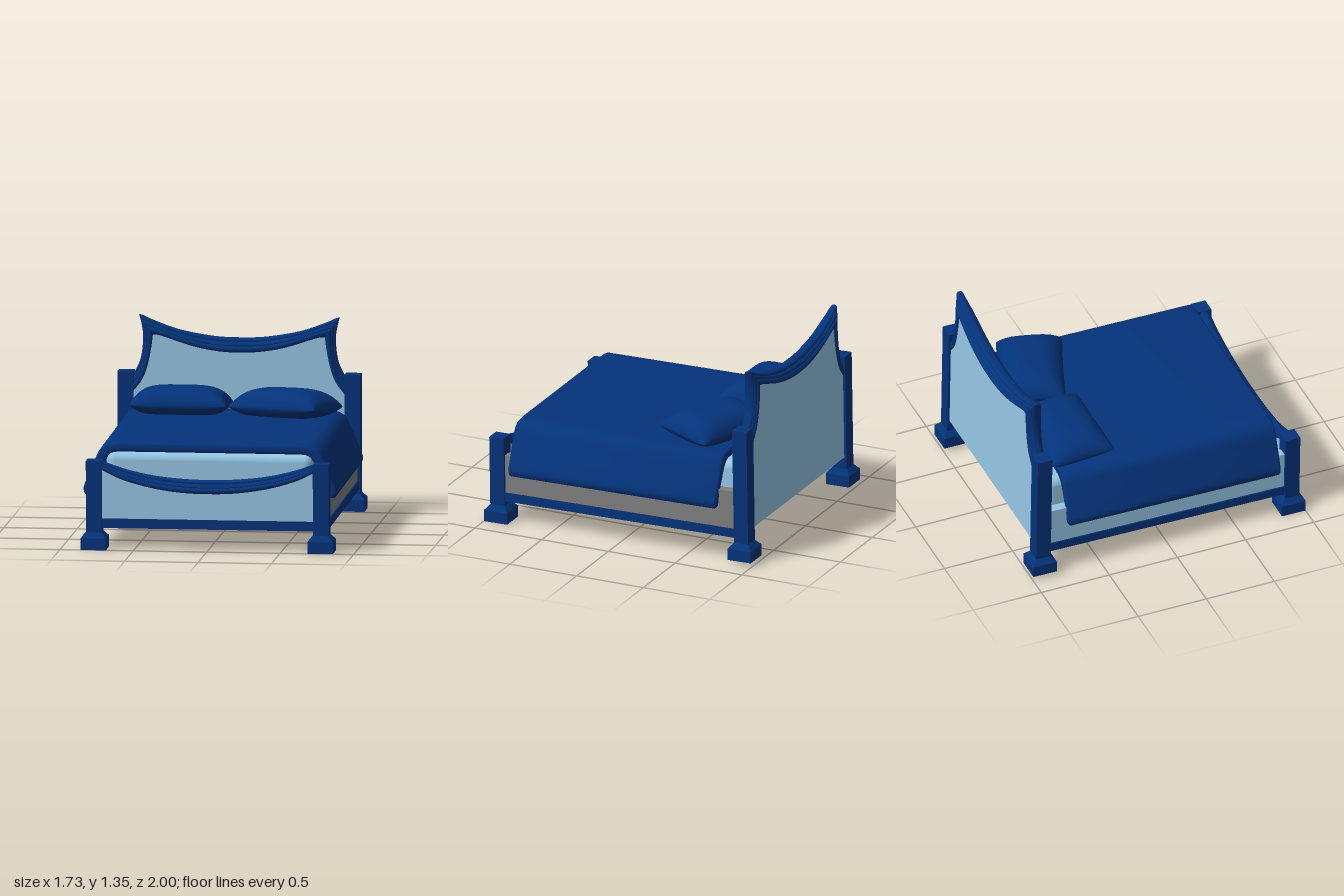
import * as THREE from 'three';
import { toCreasedNormals } from 'three/addons/utils/BufferGeometryUtils.js';
import { RoundedBoxGeometry } from 'three/addons/geometries/RoundedBoxGeometry.js';

const darkBlue = new THREE.MeshStandardMaterial({ color: 0x04337a });
const lightBlue = new THREE.MeshStandardMaterial({ color: 0x96c7e6 });
const grey = new THREE.MeshStandardMaterial({ color: 0x808080 });
darkBlue.name = 'darkBlue';
lightBlue.name = 'lightBlue';
grey.name = 'grey';

const POST_X = 0.773, POST_Z = 0.913, SHAFT = 0.0535, PLINTH = 0.0865;

function add(parent, name, geo, mat, x = 0, y = 0, z = 0) {
  const m = new THREE.Mesh(geo, mat);
  m.name = name;
  m.position.set(x, y, z);
  parent.add(m);
  return m;
}

// Box given by its lower and upper limits
function block(parent, name, mat, [x0, x1], [y0, y1], [z0, z1]) {
  return add(parent, name, new THREE.BoxGeometry(x1 - x0, y1 - y0, z1 - z0), mat,
    (x0 + x1) / 2, (y0 + y1) / 2, (z0 + z1) / 2);
}

const vecs = (pts) => pts.map(([x, y]) => new THREE.Vector2(x, y));
const mirror = (pts) => pts.map((p) => new THREE.Vector2(-p.x, p.y)).reverse();
const spline = (pts, n) => new THREE.SplineCurve(vecs(pts)).getSpacedPoints(n);

// Half a curve (ending on x = 0) completed by its mirror image
const symmetric = (half) => [...half, ...half.slice(0, -1).map(([x, y]) => [-x, y]).reverse()];

// Stepped rail between an outer and an inner edge, thicker toward the middle
function moulding(outer, inner) {
  const front = [[0, 0.2], [0.04, 0.38], [0.12, 0.5], [0.22, 0.52], [0.26, 0.5], [0.3, 0.64], [0.4, 0.77],
    [0.5, 0.8], [0.54, 0.77], [0.58, 0.9], [0.68, 1], [0.82, 1], [0.93, 0.9], [1, 0.65]];
  const ring = [...front, ...front.map(([t, d]) => [t, -d]).reverse()];
  const n = ring.length, pos = [], idx = [];
  outer.forEach((o, i) => {
    for (const [t, d] of ring) {
      const p = o.clone().lerp(inner[i], t);
      const depth = 0.049 + 0.019 * Math.max(0, 1 - (p.x / 0.7) ** 2);
      pos.push(p.x, p.y, d * depth);
    }
    if (i === 0) return;
    for (let j = 0; j < n; j++) {
      const k = (j + 1) % n, a = (i - 1) * n, b = i * n;
      idx.push(a + j, a + k, b + j, a + k, b + k, b + j);
    }
  });
  const g = new THREE.BufferGeometry();
  g.setAttribute('position', new THREE.Float32BufferAttribute(pos, 3));
  g.setIndex(idx);
  return toCreasedNormals(g, 0.7);
}

// Board whose top runs inside its moulding
function board(outer, inner, bottom, thick) {
  const top = outer.map((o, i) => o.clone().lerp(inner[i], 0.8));
  const shape = new THREE.Shape([new THREE.Vector2(-0.74, bottom), ...top, new THREE.Vector2(0.74, bottom)]);
  return new THREE.ExtrudeGeometry(shape, { depth: thick, bevelEnabled: false }).translate(0, 0, -thick / 2);
}

// Square post on a flared plinth
function post(name, x, z, height) {
  const g = new THREE.Group();
  g.name = name;
  g.position.set(x, 0, z);
  block(g, 'plinth', darkBlue, [-PLINTH, PLINTH], [0, 0.08], [-PLINTH, PLINTH]);
  const taper = new THREE.CylinderGeometry(SHAFT * Math.SQRT2, PLINTH * Math.SQRT2, 0.037, 4, 1, true);
  add(g, 'plinthTaper', toCreasedNormals(taper.rotateY(Math.PI / 4), 0.3), darkBlue, 0, 0.0985, 0);
  block(g, 'shaft', darkBlue, [-SHAFT, SHAFT], [0.08, height], [-SHAFT, SHAFT]);
  return g;
}

// Cushion made of two bulging sheets, fuller on top, with softened corners
function pillowGeometry(w, d, rise, drop) {
  const N = 32, pos = [], idx = [];
  for (const height of [rise, -drop]) {
    const base = pos.length / 3;
    for (let i = 0; i <= N; i++) for (let j = 0; j <= N; j++) {
      const u = Math.sin((i / N - 0.5) * Math.PI), v = Math.sin((j / N - 0.5) * Math.PI);
      const bulge = Math.pow((1 - u ** 4) * (1 - Math.abs(v) ** 3), 0.58);
      const corner = 1 - 0.03 * (u * v) ** 10;
      const x = u * corner * (1 - 0.02 * (1 - v * v)), z = v * corner * (1 - 0.03 * (1 - u * u));
      pos.push(x * w / 2, bulge * height, z * d / 2);
      if (i === N || j === N) continue;
      const a = base + i * (N + 1) + j, b = a + 1, c = a + N + 1, e = c + 1;
      if (height > 0) idx.push(a, b, c, b, e, c);
      else idx.push(a, c, b, b, c, e);
    }
  }
  const g = new THREE.BufferGeometry();
  g.setAttribute('position', new THREE.Float32BufferAttribute(pos, 3));
  g.setIndex(idx);
  g.computeVertexNormals();
  return g;
}

// Blanket: flared cross-section with rounded ends
function blanketGeometry() {
  const outer = spline([[0.62, 0.711], [0.7, 0.699], [0.75, 0.66], [0.79, 0.575], [0.843, 0.45], [0.863, 0.39], [0.85, 0.353]], 24);
  const inner = spline([[0.808, 0.355], [0.785, 0.44], [0.725, 0.56], [0.692, 0.615], [0.65, 0.64], [0.6, 0.646]], 16);
  const half = [...outer, ...inner];
  const b = 0.02;
  const geo = new THREE.ExtrudeGeometry(new THREE.Shape([...half, ...mirror(half)]), {
    depth: 1.56 - 2 * b, bevelSize: b, bevelThickness: b, bevelOffset: -b, bevelSegments: 5,
  });
  return toCreasedNormals(geo.translate(0, 0, -0.743 + b), 0.8);
}

export function createModel() {
  const model = new THREE.Group();
  model.name = 'bed';
  // The whole bed leans very slightly forward
  const bed = new THREE.Group();
  bed.name = 'tiltedBed';
  bed.rotation.x = 0.016;
  bed.position.y = 0.016;
  model.add(bed);

  // Posts
  for (const s of [-1, 1]) {
    const side = s > 0 ? 'Left' : 'Right';
    bed.add(post('front' + side + 'Post', s * POST_X, POST_Z, 0.605));
    bed.add(post('back' + side + 'Post', s * POST_X, -POST_Z, 0.93));
  }

  // Headboard: concave sides rising to two horns, sagging top
  const sideOut = spline([[-0.745, 0.885], [-0.725, 0.905], [-0.674, 1.01], [-0.655, 1.15], [-0.664, 1.243], [-0.682, 1.316]], 16);
  const sideIn = spline([[-0.745, 0.765], [-0.725, 0.785], [-0.66, 0.87], [-0.623, 0.965], [-0.595, 1.1], [-0.585, 1.183]], 16);
  const topOut = spline(symmetric([[-0.682, 1.316], [-0.665, 1.314], [-0.595, 1.28], [-0.41, 1.215], [-0.18, 1.174], [0, 1.166]]), 36);
  const topIn = spline(symmetric([[-0.585, 1.183], [-0.525, 1.175], [-0.317, 1.109], [-0.15, 1.078], [0, 1.07]]), 36);
  const join = (side, top) => [...side.slice(0, -1), ...top, ...mirror(side).slice(1)];
  const headOut = join(sideOut, topOut), headIn = join(sideIn, topIn);
  add(bed, 'headboardMoulding', moulding(headOut, headIn), darkBlue, 0, 0, -POST_Z);
  add(bed, 'headboardPanel', board(headOut, headIn, 0.2, 0.075), lightBlue, 0, 0, -POST_Z);

  // Footboard with a sagging moulding
  const footOut = spline(symmetric([[-0.745, 0.61], [-0.6, 0.556], [-0.41, 0.51], [-0.2, 0.485], [0, 0.478]]), 36);
  const footIn = spline(symmetric([[-0.745, 0.555], [-0.6, 0.485], [-0.41, 0.431], [-0.2, 0.398], [0, 0.39]]), 36);
  add(bed, 'footboardMoulding', moulding(footOut, footIn), darkBlue, 0, 0, POST_Z);
  add(bed, 'footboardPanel', board(footOut, footIn, 0.19, 0.055), lightBlue, 0, 0, POST_Z);
  block(bed, 'footRail', darkBlue, [-0.73, 0.73], [0.145, 0.21], [POST_Z - 0.035, POST_Z + 0.035]);

  // Side rails and panels with inner ledges, the left side grey
  for (const s of [-1, 1]) {
    const side = s > 0 ? 'left' : 'right';
    const span = (a, b) => (s > 0 ? [a, b] : [-b, -a]);
    const mat = s > 0 ? grey : lightBlue;
    block(bed, side + 'Rail', darkBlue, span(0.775, 0.818), [0.15, 0.212], [-0.87, 0.87]);
    block(bed, side + 'Panel', mat, span(0.775, 0.808), [0.2, 0.48], [-0.87, 0.87]);
    block(bed, side + 'Ledge', mat, span(0.745, 0.776), [0.38, 0.48], [-0.87, 0.87]);
  }

  // Base slab, mattress and blanket
  block(bed, 'baseSlab', lightBlue, [-0.776, 0.776], [0.327, 0.39], [-0.89, 0.89]);
  add(bed, 'mattress', new RoundedBoxGeometry(1.41, 0.273, 1.69, 5, 0.06), lightBlue, 0, 0.5165, -0.003);
  add(bed, 'blanket', blanketGeometry(), darkBlue);

  // Pillows
  const pillows = [['rightPillow', -0.355, -0.566, -0.005, 0.665, 0.455], ['leftPillow', 0.36, -0.515, -0.36, 0.66, 0.455]];
  for (const [name, x, z, turn, w, d] of pillows) {
    const p = add(bed, name, pillowGeometry(w, d, 0.128, 0.08), darkBlue, x, 0.762, z);
    p.rotation.set(-0.08, turn, 0);
  }
  return model;
}
